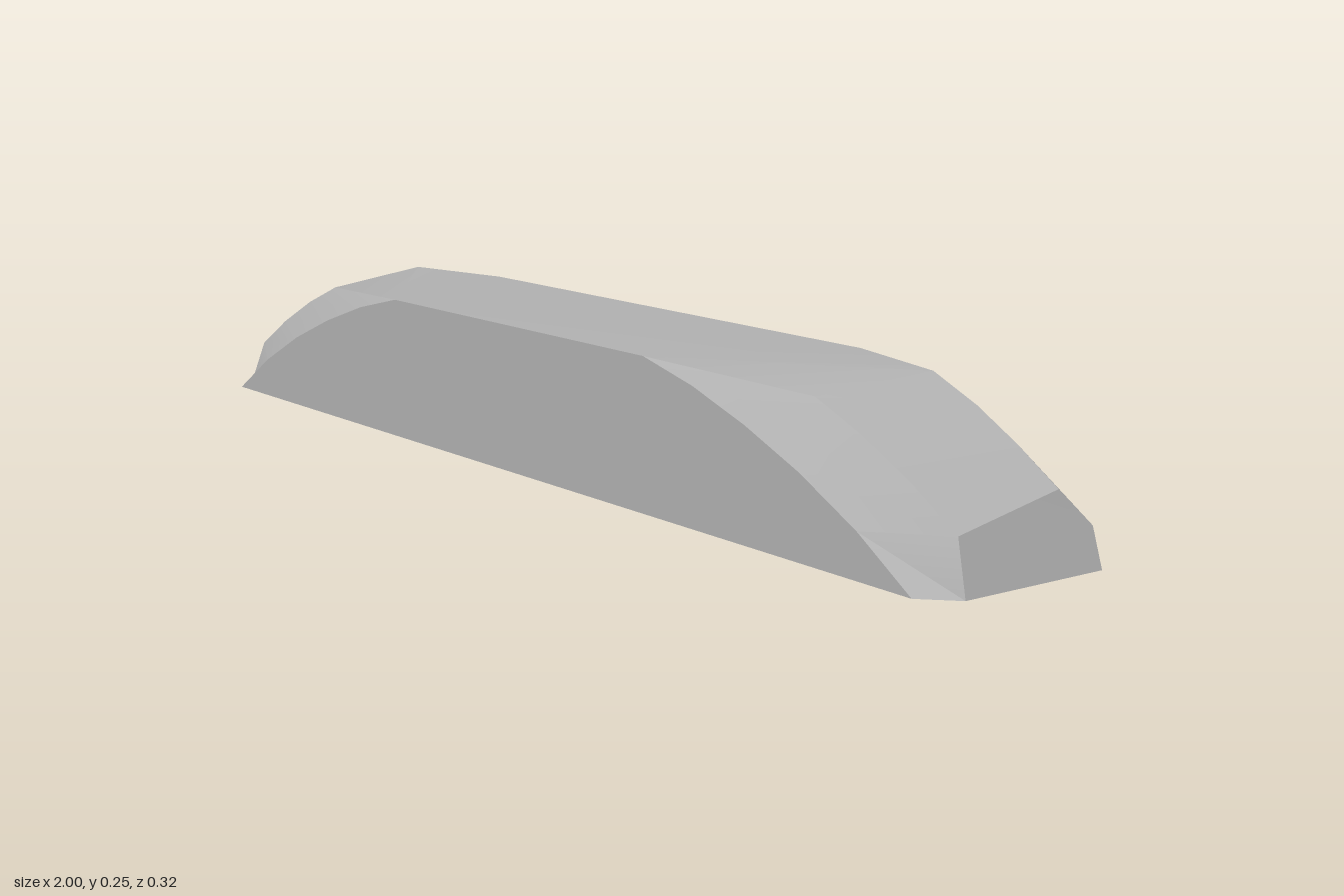
import * as THREE from 'three';
import { toCreasedNormals } from 'three/addons/utils/BufferGeometryUtils.js';

// Half outlines from the bottom end up to the flat top, ordered front to back: [x, y, z]
const FRONT = 0.158, BACK = -0.158, TOP = 0.245;
const at = (z, points) => points.map(([x, y]) => [x, y, z]);
const halfRows = [
  // edge of the front face
  at(FRONT, [[0.95, 0], [0.84, 0.07], [0.72, 0.13], [0.6, 0.178], [0.48, 0.217], [0.36, TOP]]),
  // front ridge, fading into the front edge
  [[1, 0, 0.108], ...at(0.095, [[0.97, 0.08], [0.88, 0.135], [0.78, 0.185], [0.68, 0.225]]), [0.36, TOP, FRONT]],
  // back ridge, fading into the back edge
  [[1, 0, BACK], ...at(-0.108, [[0.96, 0.115], [0.88, 0.165], [0.8, 0.208], [0.71, TOP]]), [0.5, TOP, BACK]],
  // edge of the back face
  at(BACK, [[1, 0], [0.98, 0.06], [0.86, 0.125], [0.74, 0.175], [0.62, 0.215], [0.5, TOP]]),
];

function loftBar() {
  // mirror each half outline into a closed loop
  const rows = halfRows.map((half) => [
    ...half,
    ...half.map(([x, y, z]) => [-x, y, z]).reverse(),
  ].map((p) => new THREE.Vector3(...p)));
  const count = rows[0].length;
  const positions = [];
  const tri = (a, b, c) => {
    if (new THREE.Triangle(a, b, c).getArea() < 1e-6) return;
    for (const p of [a, b, c]) positions.push(p.x, p.y, p.z);
  };

  // skin between neighbouring loops, with mirrored diagonals
  for (let r = 0; r < rows.length - 1; r++) {
    for (let i = 0; i < count; i++) {
      const j = (i + 1) % count;
      const a = rows[r][i], b = rows[r][j], c = rows[r + 1][j], d = rows[r + 1][i];
      if (i < count / 2) {
        tri(a, d, b);
        tri(b, d, c);
      } else {
        tri(a, d, c);
        tri(a, c, b);
      }
    }
  }

  // flat front and back faces
  const first = rows[0], last = rows[rows.length - 1];
  for (let i = 1; i < count - 1; i++) {
    tri(first[0], first[i], first[i + 1]);
    tri(last[0], last[i + 1], last[i]);
  }

  const geometry = new THREE.BufferGeometry();
  geometry.setAttribute('position', new THREE.Float32BufferAttribute(positions, 3));
  return toCreasedNormals(geometry, THREE.MathUtils.degToRad(22));
}

export function createModel() {
  const grey = new THREE.MeshStandardMaterial({ color: 0xb0b0b0 });
  grey.name = 'grey';
  const bar = new THREE.Mesh(loftBar(), grey);
  bar.name = 'chamferedBar';
  const model = new THREE.Group();
  model.name = 'curvedBar';
  model.add(bar);
  return model;
}
